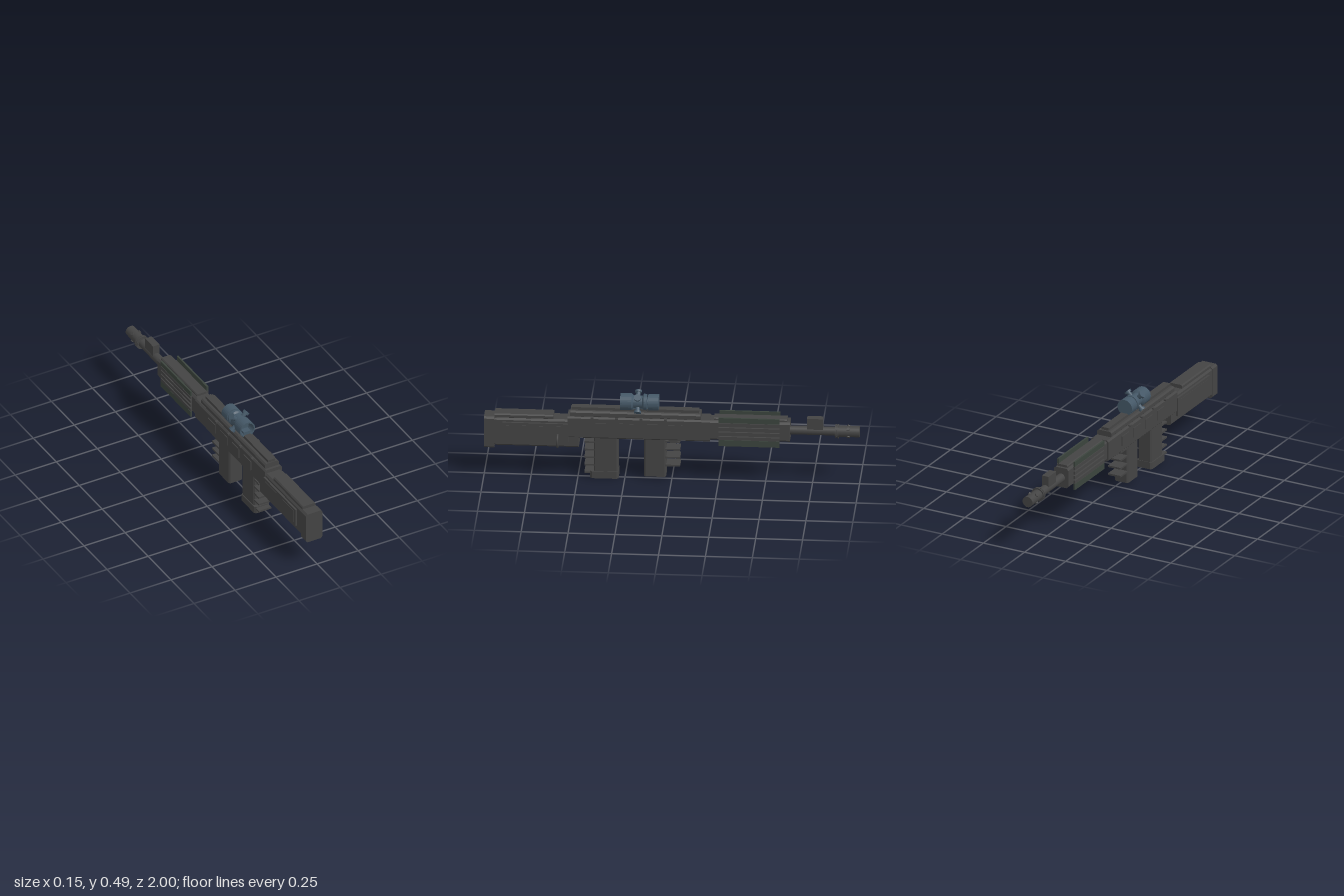
import * as THREE from 'three';

const DARK = new THREE.MeshStandardMaterial({ color: 0x444444, flatShading: true });
const DARK_SMOOTH = new THREE.MeshStandardMaterial({ color: 0x444444 });
const BLUE = new THREE.MeshStandardMaterial({ color: 0x445766, side: THREE.DoubleSide });
const GREEN = new THREE.MeshStandardMaterial({ color: 0x3b443d, flatShading: true });

export function createModel() {
  const model = new THREE.Group();
  model.name = 'model';
  const body = new THREE.Group();
  body.name = 'body';
  body.position.x = -0.018;
  model.add(body);

  const add = (name, geo, mat = DARK, x = 0, y = 0, z = 0) => {
    const m = new THREE.Mesh(geo, mat);
    m.name = name;
    m.position.set(x, y, z);
    body.add(m);
    return m;
  };
  // plain box from its limits
  const box = (name, x0, x1, y0, y1, z0, z1, mat = DARK) =>
    add(name, new THREE.BoxGeometry(x1 - x0, y1 - y0, z1 - z0), mat,
      (x0 + x1) / 2, (y0 + y1) / 2, (z0 + z1) / 2);
  // rectangle with cut corners
  const cutRect = (w, h, c) => new THREE.Shape([
    [-w + c, -h], [w - c, -h], [w, -h + c], [w, h - c],
    [w - c, h], [-w + c, h], [-w, h - c], [-w, -h + c],
  ].map(p => new THREE.Vector2(...p)));
  // chamfered bar running along z
  const bar = (name, half, y0, y1, z0, z1, c) => add(name,
    new THREE.ExtrudeGeometry(cutRect(half, (y1 - y0) / 2, c), { depth: z1 - z0, bevelEnabled: false }),
    DARK, 0, (y0 + y1) / 2, z0);
  // chamfered post running along y
  const post = (name, half, y0, y1, z0, z1, c) => add(name,
    new THREE.ExtrudeGeometry(cutRect(half, (z1 - z0) / 2, c), { depth: y1 - y0, bevelEnabled: false })
      .rotateX(-Math.PI / 2), DARK, 0, y0, (z0 + z1) / 2);
  // round part running along z
  const tube = (name, r, z0, z1, y) => add(name,
    new THREE.CylinderGeometry(r, r, z1 - z0, 24).rotateX(Math.PI / 2), DARK_SMOOTH, 0, y, (z0 + z1) / 2);

  // stock
  bar('buttPlate', 0.05, 0.16, 0.34, 0.945, 1, 0.01);
  bar('stock', 0.048, 0.175, 0.335, 0.495, 0.95, 0.01);
  bar('cheekRest', 0.04, 0.33, 0.356, 0.63, 0.944, 0.006);
  for (const s of [-1, 1]) {
    const p = box('stockPanel', -0.006, 0.006, 0.21, 0.315, 0.55, 0.9);
    p.position.x = s * 0.053;
    const q = box('stockPanelInset', -0.006, 0.006, 0.225, 0.3, 0.57, 0.88);
    q.position.x = s * 0.0545;
  }
  // sling loop on the left side
  add('slingLoop', new THREE.TorusGeometry(0.037, 0.006, 8, 24, Math.PI), DARK_SMOOTH, 0.05, 0.218, 0.607)
    .rotation.z = -Math.PI / 2;

  // receiver and top rail
  bar('receiver', 0.052, 0.233, 0.355, -0.205, 0.555, 0.008);
  bar('railBase', 0.043, 0.35, 0.385, -0.155, 0.54, 0.008);
  box('rail', -0.021, 0.021, 0.38, 0.4, -0.145, 0.535);
  box('trigger', -0.006, 0.006, 0.22, 0.235, 0.228, 0.24);
  for (const s of [-1, 1]) {
    for (let i = 0; i < 4; i++) {
      const z = 0.37 - i * 0.13;
      box('sidePlate', s * 0.053 - 0.003, s * 0.053 + 0.003, 0.27, 0.325, z - 0.038, z + 0.038);
      box('sideStud', s * 0.052 - 0.008, s * 0.052 + 0.008, 0.35, 0.358, z + 0.045, z + 0.06);
    }
  }

  // rear grip with fins at the back
  post('rearGrip', 0.041, 0.02, 0.24, 0.286, 0.415, 0.008);
  post('rearGripBase', 0.046, 0, 0.04, 0.283, 0.435, 0.01);
  for (let i = 0; i < 5; i++) {
    const y = 0.03 + i * 0.044;
    box('rearGripFin', -0.038, 0.038, y - 0.005, y + 0.005, 0.4, 0.465);
  }
  // front grip with fins ahead of it
  post('frontGrip', 0.041, 0.017, 0.24, 0.03, 0.147, 0.008);
  for (let i = 0; i < 4; i++) {
    const y = 0.083 + i * 0.046;
    box('frontGripFin', -0.038, 0.038, y - 0.005, y + 0.005, -0.045, 0.045);
  }

  // handguard with side ribs and corner plates
  bar('handguard', 0.044, 0.24, 0.352, -0.63, -0.2, 0.01);
  bar('handguardTop', 0.03, 0.345, 0.365, -0.615, -0.225, 0.005);
  for (const s of [-1, 1]) {
    for (let i = 0; i < 4; i++) {
      const y = 0.258 + i * 0.026;
      box('handguardRib', s * 0.048 - 0.007, s * 0.048 + 0.007, y - 0.009, y + 0.009, -0.575, -0.25);
    }
    box('upperPlate', s * 0.049 - 0.005, s * 0.049 + 0.005, 0.347, 0.375, -0.575, -0.25, GREEN);
    box('lowerPlate', s * 0.049 - 0.005, s * 0.049 + 0.005, 0.212, 0.247, -0.575, -0.25, GREEN);
  }

  // barrel, front sight and muzzle
  const by = 0.295;
  tube('barrel', 0.024, -0.88, -0.62, by);
  box('frontSight', -0.02, 0.02, 0.3, 0.37, -0.805, -0.72);
  tube('muzzle', 0.03, -1, -0.868, by);
  for (const z of [-0.885, -0.873]) tube('muzzleRing', 0.038, z - 0.004, z + 0.003, by);
  for (let i = 0; i < 4; i++) {
    const a = Math.PI / 4 + i * Math.PI / 2;
    add('muzzleStud', new THREE.CylinderGeometry(0.009, 0.009, 0.01, 12), DARK_SMOOTH,
      Math.cos(a) * 0.03, by + Math.sin(a) * 0.03, -0.94).rotation.z = a - Math.PI / 2;
  }

  // scope: hollow front bell, waist, and a separate rear cap
  const sy = 0.432;
  const lathe = (name, pts) => {
    const g = new THREE.LatheGeometry(pts.map(p => new THREE.Vector2(...p)), 32).rotateX(Math.PI / 2).toNonIndexed();
    g.computeVertexNormals();
    return add(name, g, BLUE, 0, sy, 0);
  };
  lathe('scopeBody', [[0, 0.133], [0.044, 0.133], [0.044, 0.15], [0.035, 0.158], [0.035, 0.205],
    [0.0455, 0.215], [0.0455, 0.275], [0.038, 0.275], [0.028, 0.235], [0, 0.235]]);
  lathe('scopeRearCap', [[0, 0.07], [0.044, 0.07], [0.044, 0.127], [0, 0.127]]);
  add('scopeCore', new THREE.CylinderGeometry(0.02, 0.02, 0.02, 20).rotateX(Math.PI / 2), BLUE, 0, sy, 0.13);
  // four turret knobs set diagonally
  for (let i = 0; i < 4; i++) {
    const a = Math.PI / 4 + i * Math.PI / 2;
    const k = new THREE.Group();
    k.name = 'turretKnob';
    k.position.set(0, sy, 0.182);
    k.rotation.z = a - Math.PI / 2;
    for (const [r, h, y] of [[0.012, 0.04, 0.04], [0.019, 0.012, 0.059]]) {
      const m = new THREE.Mesh(new THREE.CylinderGeometry(r, r, h, 20), BLUE);
      m.name = 'knob';
      m.position.y = y;
      k.add(m);
    }
    body.add(k);
  }
  box('scopeMount', -0.021, 0.021, 0.39, 0.418, 0.09, 0.27, BLUE);

  return model;
}
